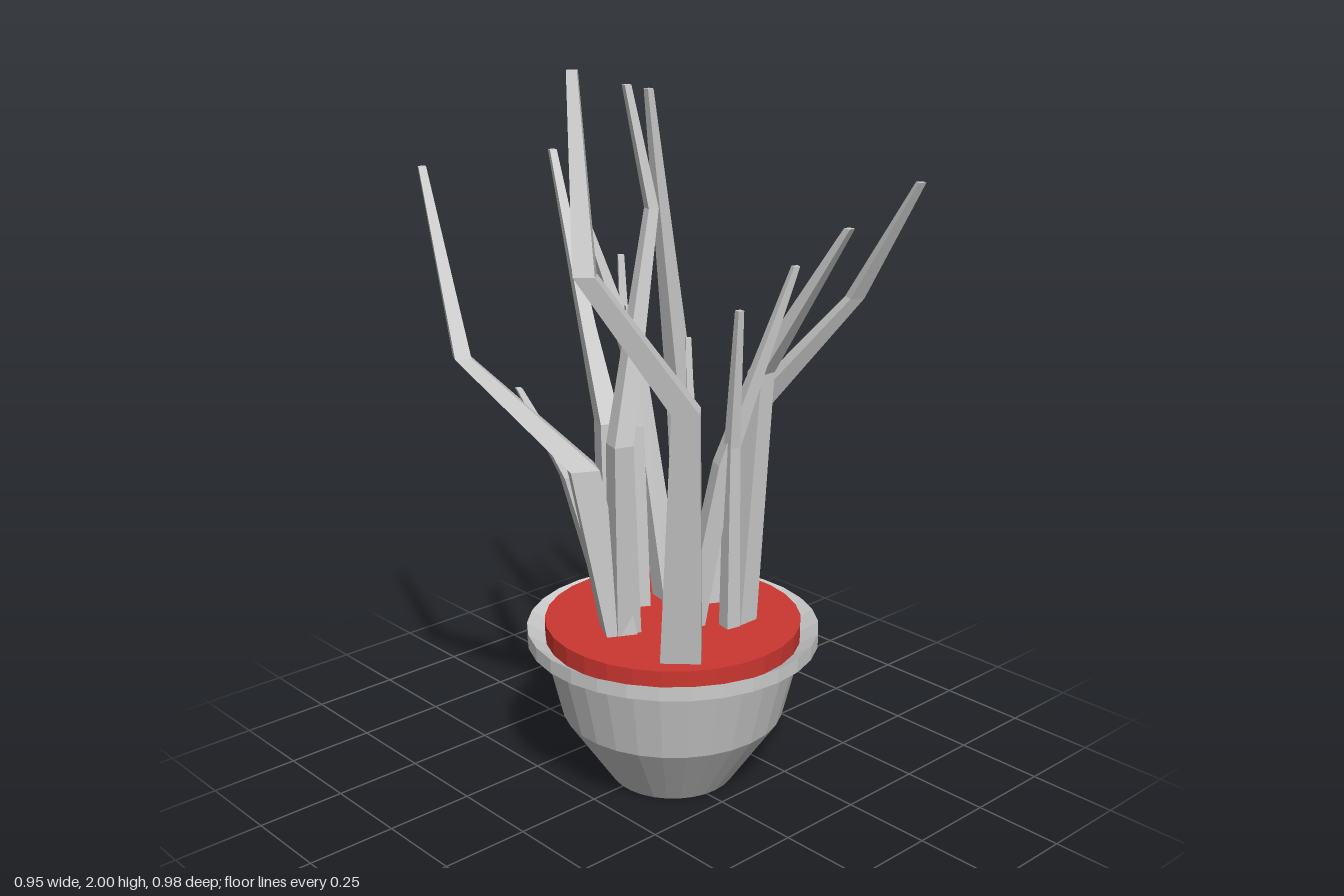
import * as THREE from 'three';

const grey = new THREE.MeshStandardMaterial({ color: 0xcccccc, flatShading: true, side: THREE.DoubleSide });
const red = new THREE.MeshStandardMaterial({ color: 0xcc3630, flatShading: true });
const SIDES = 30;
const CX = 0.03, CZ = 0.017;

// Bent four-sided stalk; each section is [x, y, z, corner radius]
function stalk(sections, twist) {
  const rows = sections.length - 1;
  const geo = new THREE.CylinderGeometry(1, 1, 1, 4, rows);
  const pos = geo.attributes.position;
  const c = Math.cos(twist), s = Math.sin(twist);
  for (let i = 0; i < pos.count; i++) {
    const [x, y, z, r] = sections[Math.round((pos.getY(i) + 0.5) * rows)];
    const px = pos.getX(i), pz = pos.getZ(i);
    pos.setXYZ(i, x + r * (px * c + pz * s), y, z + r * (pz * c - px * s));
  }
  geo.computeVertexNormals();
  return new THREE.Mesh(geo, grey);
}

export function createModel() {
  const model = new THREE.Group();
  const add = (name, mesh) => {
    mesh.name = name;
    model.add(mesh);
    return mesh;
  };

  // Pot with a lip that slopes inwards to the soil
  const profile = [[0, 0], [0.175, 0], [0.31, 0.2], [0.362, 0.415], [0.405, 0.415], [0.405, 0.455], [0.35, 0.42]]
    .map(([r, y]) => new THREE.Vector2(r, y));
  add('pot', new THREE.Mesh(new THREE.LatheGeometry(profile, SIDES), grey)).position.set(CX, 0, CZ);

  // Soil disc
  add('soil', new THREE.Mesh(new THREE.CylinderGeometry(0.355, 0.355, 0.065, SIDES), red)).position.set(CX, 0.4425, CZ);

  // Tall stalks, base to tip
  const tall = [
    [0, [-0.125, 0.45, 0.215, 0.077], [-0.215, 1.19, 0.325, 0.05], [-0.43, 1.54, 0.205, 0.037], [-0.38, 2, 0.11, 0.018]],
    [0.3, [-0.14, 0.45, -0.01, 0.06], [-0.225, 0.95, -0.06, 0.055], [-0.45, 1.25, -0.265, 0.03], [-0.435, 1.72, -0.43, 0.014]],
    [0.5, [-0.13, 0.45, -0.005, 0.05], [-0.185, 1.03, 0.045, 0.038], [-0.028, 1.62, -0.005, 0.02], [-0.068, 1.93, -0.053, 0.013]],
    [0.4, [-0.005, 0.45, -0.19, 0.05], [-0.015, 1.0, -0.2, 0.042], [0, 1.25, -0.3, 0.028], [0.035, 1.71, -0.48, 0.014]],
    [0.6, [0.115, 0.45, -0.09, 0.045], [0.085, 1.15, -0.2, 0.032], [-0.01, 1.57, -0.305, 0.012]],
    [0.7, [0.2, 0.45, -0.085, 0.045], [0.23, 1.05, -0.17, 0.04], [0.09, 1.9, -0.145, 0.013]],
    [0.3, [0.2, 0.45, -0.005, 0.068], [0.31, 1.05, 0.06, 0.045], [0.445, 1.36, 0.28, 0.028], [0.458, 1.69, 0.475, 0.014]],
    [0.8, [0.15, 0.45, 0.16, 0.045], [0.195, 1.18, 0.18, 0.036], [0.218, 1.6, 0.45, 0.014]],
    [0.4, [0.03, 0.45, 0.085, 0.042], [0.075, 0.95, 0.165, 0.032], [0.208, 1.48, 0.283, 0.012]],
  ];
  tall.forEach(([twist, ...sections], i) => add(`tallStalk${i + 1}`, stalk(sections, twist)));

  // Thin young shoots
  const shoots = [
    [0.5, [-0.12, 0.45, -0.04, 0.035], [-0.24, 0.92, -0.1, 0.025], [-0.328, 1.16, -0.19, 0.011]],
    [0.2, [0.07, 0.45, -0.19, 0.03], [0.075, 1.0, -0.215, 0.024], [0.092, 1.44, -0.262, 0.012]],
    [0.5, [0.23, 0.45, -0.03, 0.035], [0.305, 1.0, -0.005, 0.026], [0.37, 1.28, 0.065, 0.01]],
    [0.1, [0.11, 0.45, 0.015, 0.025], [0.105, 0.9, 0.01, 0.02], [0.115, 1.25, -0.015, 0.01]],
    [0.6, [0.1, 0.45, 0.17, 0.03], [0.08, 1.0, 0.19, 0.022], [0.055, 1.38, 0.235, 0.012]],
    [0.3, [0.02, 0.45, -0.1, 0.03], [0.018, 1.0, -0.115, 0.022], [0.02, 1.33, -0.153, 0.01]],
  ];
  shoots.forEach(([twist, ...sections], i) => add(`shoot${i + 1}`, stalk(sections, twist)));

  return model;
}
